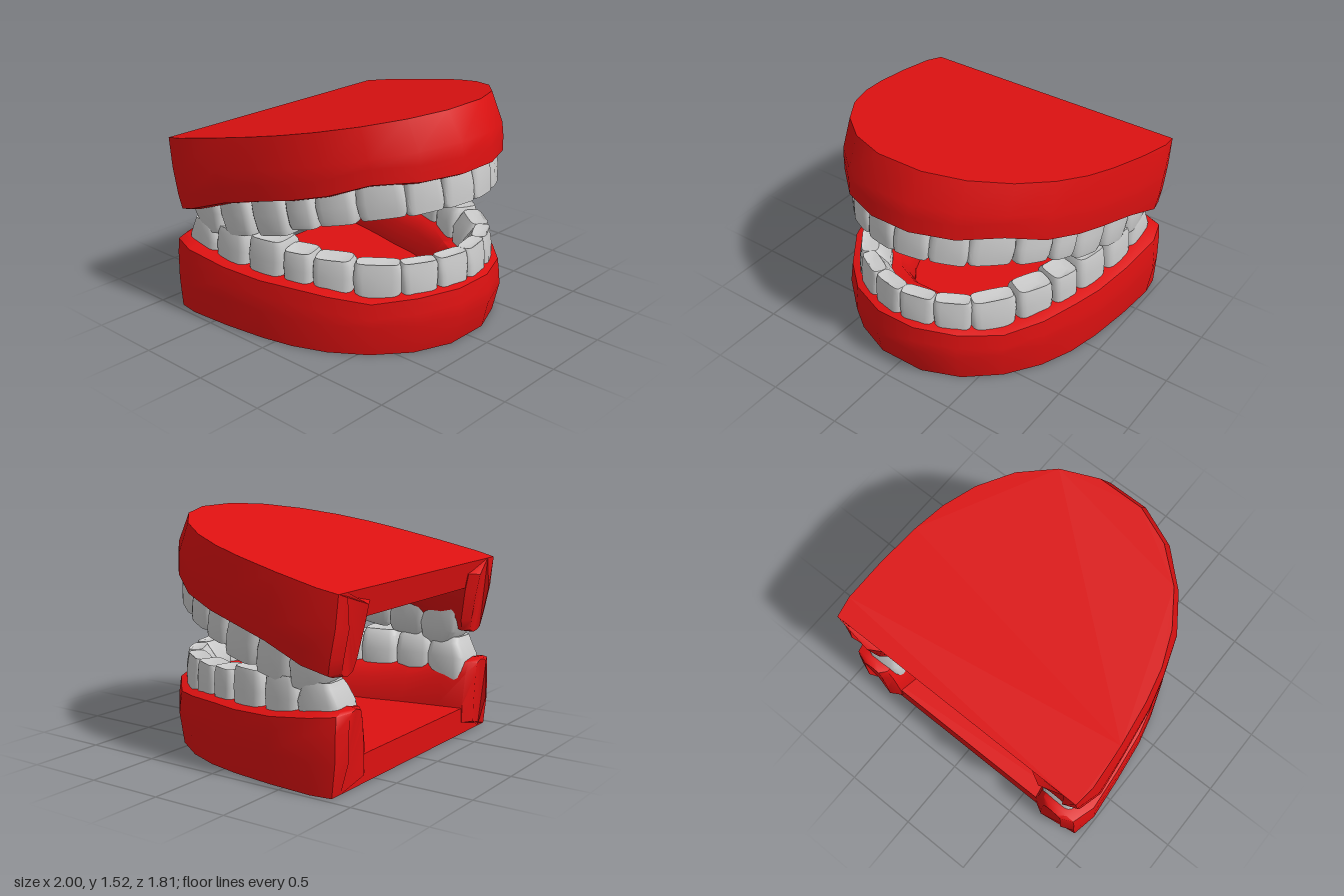
import * as THREE from 'three';
import { toCreasedNormals } from 'three/addons/utils/BufferGeometryUtils.js';

const gumMat = new THREE.MeshStandardMaterial({ color: 0xdd1111 });
const toothMat = new THREE.MeshStandardMaterial({ color: 0xcccccc });

// Half of the gum arch, front to rear: outer x,z | base x,z | inner x,z | height
const ARCH = [
  [0.14, 0.90, 0.16, 0.84, 0.12, 0.42, 0.39],
  [0.41, 0.79, 0.41, 0.74, 0.27, 0.34, 0.38],
  [0.63, 0.59, 0.62, 0.56, 0.36, 0.22, 0.35],
  [0.79, 0.36, 0.77, 0.34, 0.41, 0.10, 0.385],
  [0.88, 0.10, 0.86, 0.12, 0.44, 0.00, 0.40],
  [0.93, -0.10, 0.91, -0.10, 0.47, -0.17, 0.40],
  [0.97, -0.40, 0.95, -0.40, 0.53, -0.42, 0.415],
  [1.00, -0.70, 0.97, -0.70, 0.58, -0.68, 0.46],
  [0.95, -0.86, 0.95, -0.84, 0.61, -0.845, 0.48],
  [0.86, -0.895, 0.86, -0.84, 0.69, -0.89, 0.47],
];

// Tooth boundaries on the outer arch (x, z), front to rear
const EDGES = [
  [0, 0.86], [0.24, 0.81], [0.46, 0.69], [0.65, 0.44], [0.77, 0.20],
  [0.83, 0.00], [0.88, -0.28], [0.905, -0.56], [0.89, -0.86],
];

// Per tooth: depth, top height, width of top, depth of top, lean to the front
const TEETH = [
  [0.20, 0.59, 0.97, 0.6, 0], [0.20, 0.585, 0.97, 0.6, 0], [0.22, 0.58, 0.94, 0.65, 0],
  [0.24, 0.59, 0.94, 0.8, 0], [0.25, 0.605, 0.95, 0.85, 0], [0.28, 0.645, 0.92, 0.85, 0.01],
  [0.28, 0.65, 0.90, 0.85, 0.01], [0.28, 0.645, 0.72, 0.85, 0.04],
];

// Joins equal rings of points into a closed skin with both ends capped
function skin(rings, crease) {
  const n = rings[0].length, idx = [], last = (rings.length - 1) * n;
  for (let i = 0; i < rings.length - 1; i++) {
    for (let j = 0; j < n; j++) {
      const k = (j + 1) % n;
      const a = i * n + j, b = a + n, c = (i + 1) * n + k, d = i * n + k;
      idx.push(a, b, c, a, c, d);
    }
  }
  for (let j = 1; j < n - 1; j++) idx.push(0, j, j + 1, last, last + j + 1, last + j);
  const geo = new THREE.BufferGeometry();
  geo.setAttribute('position', new THREE.Float32BufferAttribute(rings.flat(2), 3));
  geo.setIndex(idx);
  return toCreasedNormals(geo, crease);
}

function named(name, geo, mat) {
  const mesh = new THREE.Mesh(geo, mat);
  mesh.name = name;
  return mesh;
}

// Horseshoe gum: one cross-section per station, from rear to rear round the front
function gumGeometry() {
  const section = ([ox, oz, bx, bz, ix, iz, h], s) => {
    const at = (t, y) => [s * (ox + (ix - ox) * t), y, oz + (iz - oz) * t];
    return [
      [s * bx, 0, bz], at(0, 0.2), at(0.01, h - 0.1), at(0.04, h), at(0.2, h + 0.02),
      at(0.5, h + 0.03), at(0.78, h + 0.01), at(0.9, h - 0.07), at(1, 0.2), at(1, 0.08),
    ];
  };
  const left = ARCH.map(a => section(a, 1));
  const right = ARCH.map(a => section(a, -1)).reverse();
  return skin([...right, ...left], 0.85);
}

// Flat plate that closes the arch
function plateGeometry() {
  const half = ARCH.slice(0, 9).map(a => [a[2], a[3]]);
  const outline = [...half.map(([x, z]) => [-x, z]).reverse(), ...half];
  const shape = new THREE.Shape(outline.map(([x, z]) => new THREE.Vector2(x, z)));
  const geo = new THREE.ExtrudeGeometry(shape, { depth: 0.18, bevelEnabled: false });
  return geo.rotateX(Math.PI / 2).translate(0, 0.18, 0);
}

// Tooth: stacked rounded squares, outer face towards +z
function toothGeometry(w, d, top, topW, topD, lean) {
  const base = 0.27, n = 20;
  const levels = [
    [0, 0.88, 0.92], [0.35, 0.93, 0.98], [0.65, 0.99, 0.95],
    [0.9, topW, topD], [1, topW * 0.9, topD * 0.82], [0.97, topW * 0.4, topD * 0.35],
  ];
  const round = v => Math.sign(v) * Math.abs(v) ** 0.45;
  const rings = levels.map(([t, sw, sd]) => Array.from({ length: n }, (_, j) => {
    const a = -j / n * Math.PI * 2;
    return [
      round(Math.cos(a)) * w * sw / 2 + lean * t,
      base + (top - base) * t,
      round(Math.sin(a)) * d * sd / 2 + (1 - sd) * d * 0.3,
    ];
  }));
  // Rings run clockwise seen from above, so stack them from the top down
  return skin(rings.reverse(), 0.6);
}

function createJaw(name) {
  const jaw = new THREE.Group();
  jaw.name = name;
  jaw.add(named('gum', gumGeometry(), gumMat), named('plate', plateGeometry(), gumMat));
  const teeth = new THREE.Group();
  teeth.name = 'teeth';
  jaw.add(teeth);
  TEETH.forEach(([d, top, topW, topD, lean], i) => {
    const [ax, az] = EDGES[i], [bx, bz] = EDGES[i + 1];
    const w = Math.hypot(bx - ax, bz - az);
    const angle = Math.atan2(az - bz, bx - ax);
    for (const s of [1, -1]) {
      const tooth = named('tooth', toothGeometry(w, d, top, topW, topD, -lean * s), toothMat);
      tooth.position.set(
        s * ((ax + bx) / 2 - Math.sin(angle) * d / 2), 0,
        (az + bz) / 2 - Math.cos(angle) * d / 2);
      tooth.rotation.y = s * angle;
      teeth.add(tooth);
    }
  });
  return jaw;
}

export function createModel() {
  const model = new THREE.Group();
  model.name = 'dentures';
  const lower = createJaw('lowerJaw');
  // The upper jaw is the same piece turned over and tilted open
  const upper = createJaw('upperJaw');
  upper.rotation.set(-0.203, 0, Math.PI);
  upper.position.set(0, 1.35, -0.057);
  model.add(lower, upper);
  return model;
}
